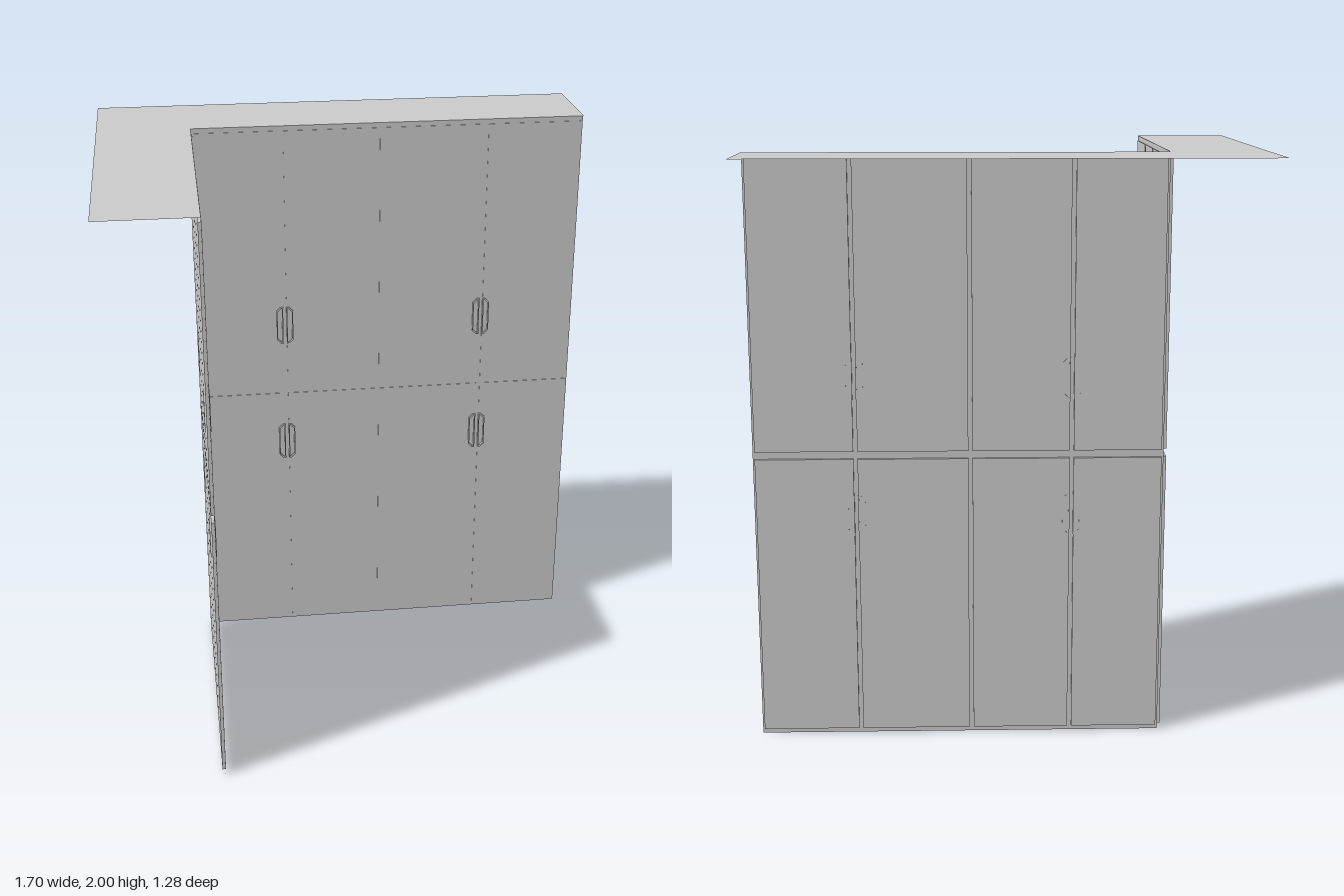
import * as THREE from 'three';

const grey = new THREE.MeshStandardMaterial({ color: 0xcccccc, side: THREE.DoubleSide, flatShading: true });

function add(parent, name, geometry, x = 0, y = 0, z = 0) {
  const mesh = new THREE.Mesh(geometry, grey);
  mesh.name = name;
  mesh.position.set(x, y, z);
  parent.add(mesh);
  return mesh;
}

// D-shaped grip: straight on the seam side, chamfered on the outer side
function handleGeometry(side) {
  const outline = (inset) => {
    const w = 0.03 - inset, h = 0.07 - inset, c = 0.014;
    return [[0.006 + inset, -h], [w - c, -h], [w, -h + c], [w, h - c], [w - c, h], [0.006 + inset, h]]
      .map(([x, y]) => new THREE.Vector2(side * x, y));
  };
  const shape = new THREE.Shape(outline(0));
  shape.holes.push(new THREE.Path(outline(0.004)));
  return new THREE.ExtrudeGeometry(shape, { depth: 0.02, bevelEnabled: false });
}

// One run of doors, facing local +z with its face sheet on z = 0.
// edges are the ends and seams; every second seam carries a pair of handles.
function doorRun(name, edges) {
  const run = new THREE.Group();
  run.name = name;
  const start = edges[0], end = edges[edges.length - 1];
  add(run, 'faceSheet', new THREE.PlaneGeometry(end - start, 2), (start + end) / 2, 1, 0);

  const rows = [
    { bottom: 0.018, top: 0.987, handleY: 0.79 },
    { bottom: 1.013, top: 1.982, handleY: 1.26 },
  ];
  for (const { bottom, top, handleY } of rows) {
    for (let i = 0; i < edges.length - 1; i++) {
      const width = edges[i + 1] - edges[i] - 0.014;
      add(run, 'door', new THREE.BoxGeometry(width, top - bottom, 0.012),
        (edges[i] + edges[i + 1]) / 2, (bottom + top) / 2, -0.004);
    }
    for (let i = 1; i < edges.length - 1; i += 2) {
      for (const side of [-1, 1]) add(run, 'handle', handleGeometry(side), edges[i], handleY, -0.011);
    }
  }
  return run;
}

export function createModel() {
  const model = new THREE.Group();
  model.name = 'cornerCupboard';

  // L-shaped thin top, drawn in x and -z then laid flat
  const top = new THREE.Shape([
    [-0.85, 0.64], [-0.85, -0.64], [-0.53, -0.64], [-0.53, 0.32], [0.85, 0.32], [0.85, 0.64],
  ].map(([x, y]) => new THREE.Vector2(x, y)));
  add(model, 'topPanel', new THREE.ShapeGeometry(top).rotateX(-Math.PI / 2), 0, 2, 0);

  // Long run facing the front
  const back = doorRun('longRun', [-0.53, -0.22, 0.12, 0.505, 0.848]);
  back.position.z = -0.322;
  model.add(back);

  // Short run facing +x; local x becomes -z
  const side = doorRun('shortRun', [-0.638, -0.375, -0.145, 0.085, 0.322]);
  side.rotation.y = Math.PI / 2;
  side.position.x = -0.53;
  model.add(side);

  return model;
}
